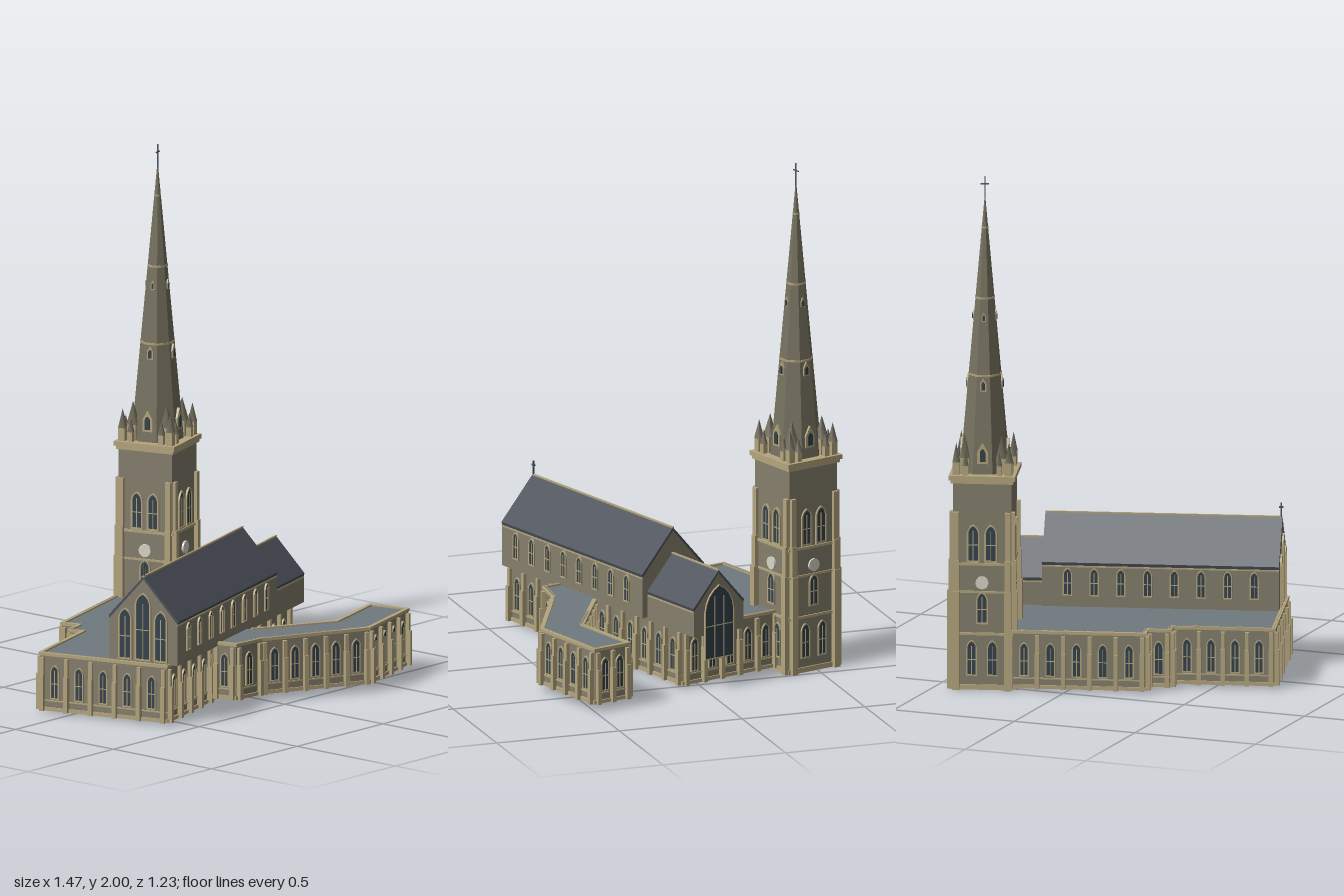
import * as THREE from 'three';

const mat = (color) => new THREE.MeshStandardMaterial({ color, roughness: 0.9, side: THREE.DoubleSide });
const stone = mat(0x857f6c), trim = mat(0xb5a67e), slate = mat(0x4d525b), lead = mat(0x707a7e);
const glass = mat(0x33424d), dial = mat(0xd8d6c8), spireStone = mat(0x77725f);

function add(parent, name, geo, material, x = 0, y = 0, z = 0) {
  const m = new THREE.Mesh(geo, material);
  m.name = name;
  m.position.set(x, y, z);
  parent.add(m);
  return m;
}
const box = (p, name, w, h, d, material, x, y, z) => add(p, name, new THREE.BoxGeometry(w, h, d), material, x, y, z);
const extrude = (shape, depth) => new THREE.ExtrudeGeometry(shape, { depth, bevelEnabled: false, curveSegments: 4 });
const polygon = (pts) => new THREE.Shape(pts.map(([x, y]) => new THREE.Vector2(x, y)));

function sub(parent, name, x = 0, y = 0, z = 0, ry = 0) {
  const g = new THREE.Group();
  g.name = name;
  g.position.set(x, y, z);
  g.rotation.y = ry;
  parent.add(g);
  return g;
}

// Pointed arch outline standing on y = 0
function arch(w, h, Kind = THREE.Shape, base = 0) {
  const s = new Kind(), a = w / 2, spring = h - w * 0.75;
  s.moveTo(-a, base);
  s.lineTo(a, base);
  s.lineTo(a, spring);
  s.quadraticCurveTo(a * 0.9, h - w * 0.22, 0, h);
  s.quadraticCurveTo(-a * 0.9, h - w * 0.22, -a, spring);
  s.lineTo(-a, base);
  return s;
}

// Window on the plane z = 0 of its parent, facing +z
function lancet(parent, x, y, w, h, t = 0.005, bars = 1) {
  const g = sub(parent, 'window', x, y);
  add(g, 'glass', extrude(arch(w, h), 0.004), glass);
  const frame = arch(w + 2 * t, h + t, THREE.Shape, -t);
  frame.holes.push(arch(w, h, THREE.Path));
  add(g, 'windowFrame', extrude(frame, 0.007), trim);
  for (let i = 1; i <= bars; i++) box(g, 'mullion', 0.003, h * 0.85, 0.003, trim, -w / 2 + (w * i) / (bars + 1), h * 0.43, 0.005);
  box(g, 'transom', w, 0.003, 0.003, trim, 0, h * 0.45, 0.005);
}

// Flat-roofed range with open underside; outline runs clockwise seen from above
function range(parent, name, pts, y0, y1, skip) {
  const g = sub(parent, name), H = y1 - y0;
  const roof = new THREE.ShapeGeometry(polygon(pts.map(([x, z]) => [x, -z])));
  add(g, 'flatRoof', roof.rotateX(-Math.PI / 2), lead, 0, y1 - 0.006, 0);
  pts.forEach(([ax, az], i) => {
    if (skip.includes(i)) return;
    const [bx, bz] = pts[(i + 1) % pts.length];
    const L = Math.hypot(bx - ax, bz - az);
    const wall = sub(g, 'wall', (ax + bx) / 2, y0, (az + bz) / 2, Math.atan2(bz - az, ax - bx));
    box(wall, 'wallPanel', L, H, 0.008, stone, 0, H / 2, -0.004);
    box(wall, 'parapet', L + 0.008, 0.012, 0.016, trim, 0, H - 0.006, -0.002);
    box(wall, 'plinth', L + 0.006, 0.014, 0.012, trim, 0, 0.007, 0);
    box(wall, 'sillCourse', L, 0.005, 0.006, trim, 0, 0.04, 0.001);
    const n = Math.max(1, Math.round(L / 0.098)), bay = (L - 0.024) / n;
    for (let k = 0; k <= n; k++) {
      const x = -L / 2 + 0.012 + k * bay;
      box(wall, 'buttress', 0.017, H * 0.62, 0.024, trim, x, H * 0.31, 0.008);
      box(wall, 'buttressHead', 0.015, H * 0.3, 0.017, trim, x, H * 0.77, 0.005);
      if (k < n && bay > 0.045) lancet(wall, x + bay / 2, 0.052, 0.028, 0.125);
    }
  });
}

// Pitched-roof hall running along x
function hall(parent, name, u0, u1, v0, v1, yb, ye, yr) {
  const g = sub(parent, name, u0, 0, (v0 + v1) / 2), a = (v1 - v0) / 2, t = 0.012, L = u1 - u0;
  const along = (pts) => extrude(polygon(pts), L).rotateY(Math.PI / 2);
  add(g, 'walls', along([[-a, yb], [a, yb], [a, ye - t], [0, yr - t], [-a, ye - t]]), stone);
  add(g, 'pitchedRoof', along([[-a, ye - t], [0, yr - t], [a, ye - t], [a + 0.003, ye], [0, yr], [-a - 0.003, ye]]), slate);
  box(g, 'ridge', L, 0.006, 0.007, trim, L / 2, yr, 0);
  for (const s of [-1, 1]) box(g, 'eavesCourse', L, 0.006, 0.004, trim, L / 2, ye - 0.015, s * a);
  return g;
}

function cross(parent, x, y, z, h, t) {
  const g = sub(parent, 'finialCross', x, y, z);
  box(g, 'crossShaft', t, h, t, slate, 0, h / 2, 0);
  box(g, 'crossArm', h * 0.32, t, t, slate, 0, h * 0.7, 0);
}

function tower(parent, u, v) {
  const g = sub(parent, 'tower', u, 0, v), a = 0.113, top = 0.83, tip = 1.915;
  box(g, 'towerBody', 2 * a, top, 2 * a, stone, 0, top / 2, 0);
  for (const [y, h, o] of [[0.01, 0.02, 0.006], [0.22, 0.01, 0.006], [0.385, 0.008, 0.005], [0.495, 0.01, 0.006], [0.82, 0.015, 0.008], [0.835, 0.018, 0.015]])
    box(g, 'stringCourse', 2 * (a + o), h, 2 * (a + o), trim, 0, y, 0);

  for (let i = 0; i < 4; i++) {
    // One tower face with buttresses, windows and clock
    const side = sub(g, 'towerSide', 0, 0, 0, (i * Math.PI) / 2);
    const face = sub(side, 'towerFace', 0, 0, a);
    for (const s of [-1, 1]) {
      const x = s * (a - 0.013);
      box(face, 'towerButtress', 0.026, 0.39, 0.024, trim, x, 0.195, 0.01);
      box(face, 'towerButtress', 0.024, 0.12, 0.019, trim, x, 0.45, 0.008);
      box(face, 'towerButtress', 0.022, 0.19, 0.014, trim, x, 0.605, 0.006);
      lancet(face, s * 0.04, 0.06, 0.032, 0.13);
      lancet(face, s * 0.034, 0.51, 0.036, 0.135, 0.007);
    }
    lancet(face, 0, 0.265, 0.034, 0.115, 0.006);
    add(face, 'clockDial', new THREE.CylinderGeometry(0.025, 0.025, 0.008, 20).rotateX(Math.PI / 2), dial, 0, 0.422, 0.004);

    // Gabled spire lights, diminishing upwards
    for (const [y, w, h] of [[0.885, 0.042, 0.085], [1.165, 0.026, 0.055], [1.435, 0.017, 0.038]]) {
      const r = (tip - y) * 0.087, light = sub(side, 'spireLight', 0, y, r - 0.03);
      const b = w / 2, e = h * 0.55;
      add(light, 'lightHousing', extrude(polygon([[-b, 0], [b, 0], [b, e], [0, h], [-b, e]]), 0.034), trim);
      add(light, 'lightOpening', extrude(arch(w * 0.5, h * 0.6), 0.003), glass, 0, h * 0.1, 0.034);
    }

    // Corner broach and pinnacles
    const corner = sub(side, 'spireCorner', a - 0.012, 0.84, a - 0.012);
    for (const [x, z, h, w] of [[0, 0, 0.125, 0.026], [-0.036, 0.004, 0.095, 0.02], [0.004, -0.036, 0.095, 0.02], [-0.03, -0.03, 0.15, 0.036]]) {
      box(corner, 'pinnacleShaft', w, h * 0.45, w, trim, x, h * 0.225, z);
      add(corner, 'pinnacleCap', new THREE.ConeGeometry(w * 0.75, h * 0.6, 4).rotateY(Math.PI / 4), spireStone, x, h * 0.74, z);
    }
  }

  // Octagonal spire with moulded bands
  const oct = (r0, r1, h) => new THREE.CylinderGeometry(r1, r0, h, 8).toNonIndexed().rotateY(Math.PI / 8);
  const spire = oct((tip - 0.84) * 0.094, 0.002, tip - 0.84);
  spire.computeVertexNormals();
  add(g, 'spire', spire, spireStone, 0, (tip + 0.84) / 2, 0);
  for (const y of [1.225, 1.525, 1.8]) {
    const r = (tip - y) * 0.094 + 0.003;
    add(g, 'spireBand', oct(r, r, 0.008), trim, 0, y, 0);
  }
  cross(g, 0, 1.9, 0, 0.1, 0.004);
}

export function createModel() {
  const model = new THREE.Group();
  model.name = 'church';
  const church = sub(model, 'mainChurch', 0, 0, 0, 0.29);

  // Aisles around the nave
  range(church, 'aisles', [
    [-0.655, 0.215], [-0.655, -0.32], [-0.26, -0.32], [-0.26, -0.377], [-0.17, -0.377], [-0.17, -0.45],
    [0.36, -0.45], [0.36, -0.23], [0.475, -0.23], [0.475, 0.215],
  ], 0.01, 0.238, [6, 7]);

  // Angled annex in front
  range(model, 'annex', [
    [0.07, 0.2], [0.07, 0.27], [0.38, 0.43], [0.675, 0.345], [0.717, 0.5], [0.38, 0.597],
    [-0.03, 0.405], [-0.165, 0.395], [-0.21, 0.24],
  ], 0.03, 0.252, [0, 8]);

  // Nave with clerestory windows, west window and gable cross
  hall(church, 'nave', -0.645, 0.27, -0.033, 0.256, 0.236, 0.41, 0.575);
  for (const [z, ry] of [[0.256, 0], [-0.033, Math.PI]]) {
    const row = sub(church, 'clerestory', -0.19, 0, z, ry);
    for (let i = 0; i < 8; i++) lancet(row, (i - 3.5) * 0.103, 0.285, 0.026, 0.1);
  }
  const west = sub(church, 'westWindow', -0.645, 0, 0.111, -Math.PI / 2);
  lancet(west, 0, 0.25, 0.055, 0.255, 0.006);
  for (const s of [-1, 1]) lancet(west, s * 0.075, 0.25, 0.045, 0.19, 0.006);
  cross(church, -0.64, 0.575, 0.111, 0.055, 0.006);

  // Chancel with its tall east window
  hall(church, 'chancel', 0.265, 0.572, -0.002, 0.232, 0.225, 0.34, 0.475);
  const east = sub(church, 'eastWindow', 0.572, 0, 0.115, Math.PI / 2);
  lancet(east, 0, 0.13, 0.13, 0.285, 0.004, 2);

  tower(church, 0.46, -0.334);
  return model;
}
